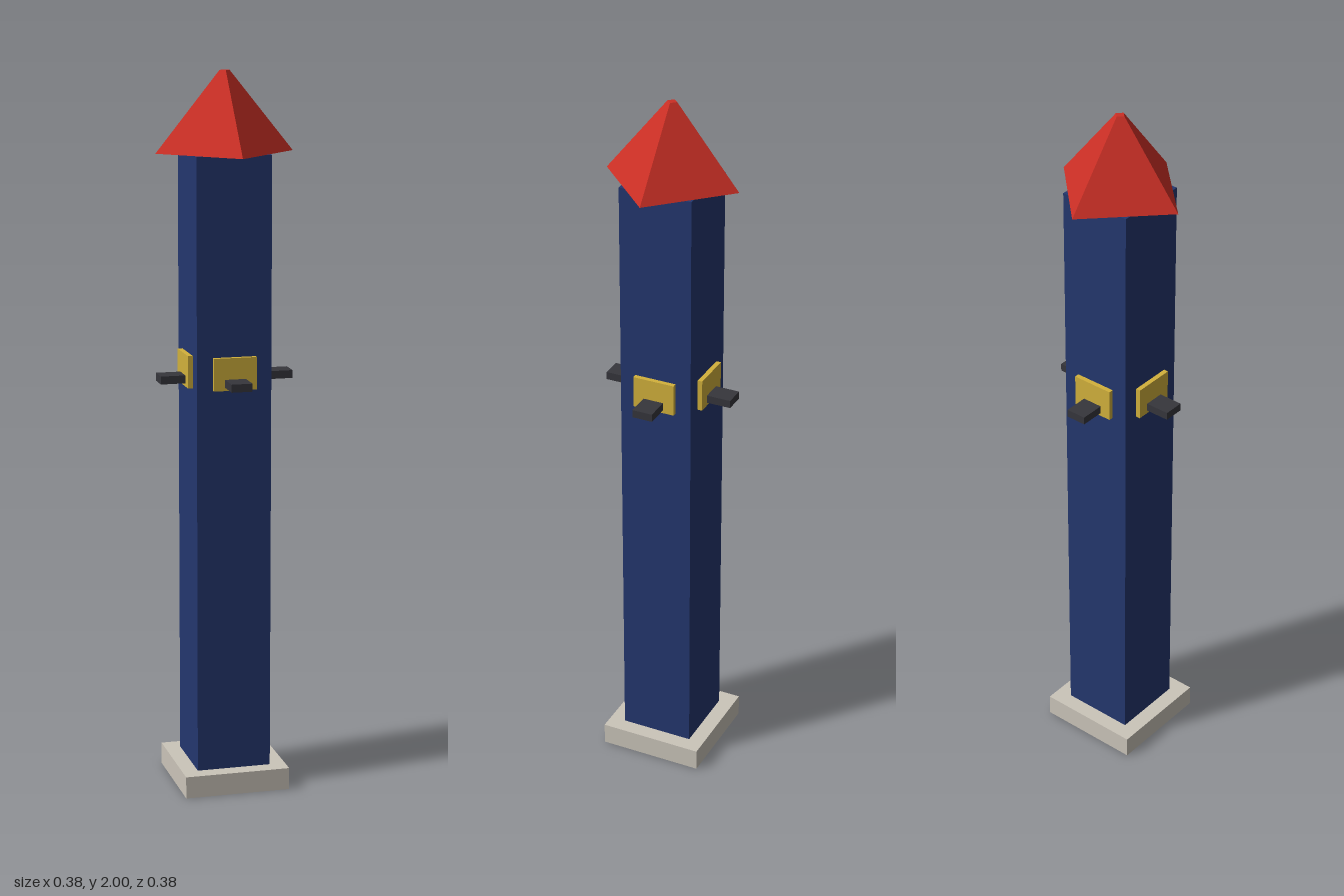
import * as THREE from 'three';

const mat = (name, color, flatShading = false) => {
  const m = new THREE.MeshStandardMaterial({ color, flatShading });
  m.name = name;
  return m;
};

export function createModel() {
  const stone = mat('pale stone', 0xcbc5ba);
  const blue = mat('deep blue', 0x24376f);
  const red = mat('roof red', 0xcb2f25, true);
  const yellow = mat('window yellow', 0xd2b13c);
  const dark = mat('dark grey', 0x36363c);

  const tower = new THREE.Group();
  tower.name = 'tower';

  const add = (parent, name, geometry, material, x, y, z) => {
    const mesh = new THREE.Mesh(geometry, material);
    mesh.name = name;
    mesh.position.set(x, y, z);
    parent.add(mesh);
  };

  // Plinth and square shaft
  add(tower, 'base', new THREE.BoxGeometry(0.298, 0.062, 0.298), stone, 0, 0.031, 0);
  add(tower, 'shaft', new THREE.BoxGeometry(0.209, 1.75, 0.209), blue, 0, 0.905, 0);

  // Four-sided roof, its corners over the middle of each wall
  add(tower, 'roof', new THREE.CylinderGeometry(0.014, 0.192, 0.22, 4), red, 0, 1.89, 0);

  // A window and ledge on each wall
  const windowGeometry = new THREE.BoxGeometry(0.12, 0.09, 0.02);
  const ledgeGeometry = new THREE.BoxGeometry(0.058, 0.022, 0.09);
  for (let i = 0; i < 4; i++) {
    const side = new THREE.Group();
    side.name = 'windowSide' + (i + 1);
    side.rotation.y = i * Math.PI / 2;
    add(side, 'window', windowGeometry, yellow, 0, 1.19, 0.108);
    add(side, 'ledge', ledgeGeometry, dark, 0, 1.165, 0.142);
    tower.add(side);
  }
  return tower;
}
